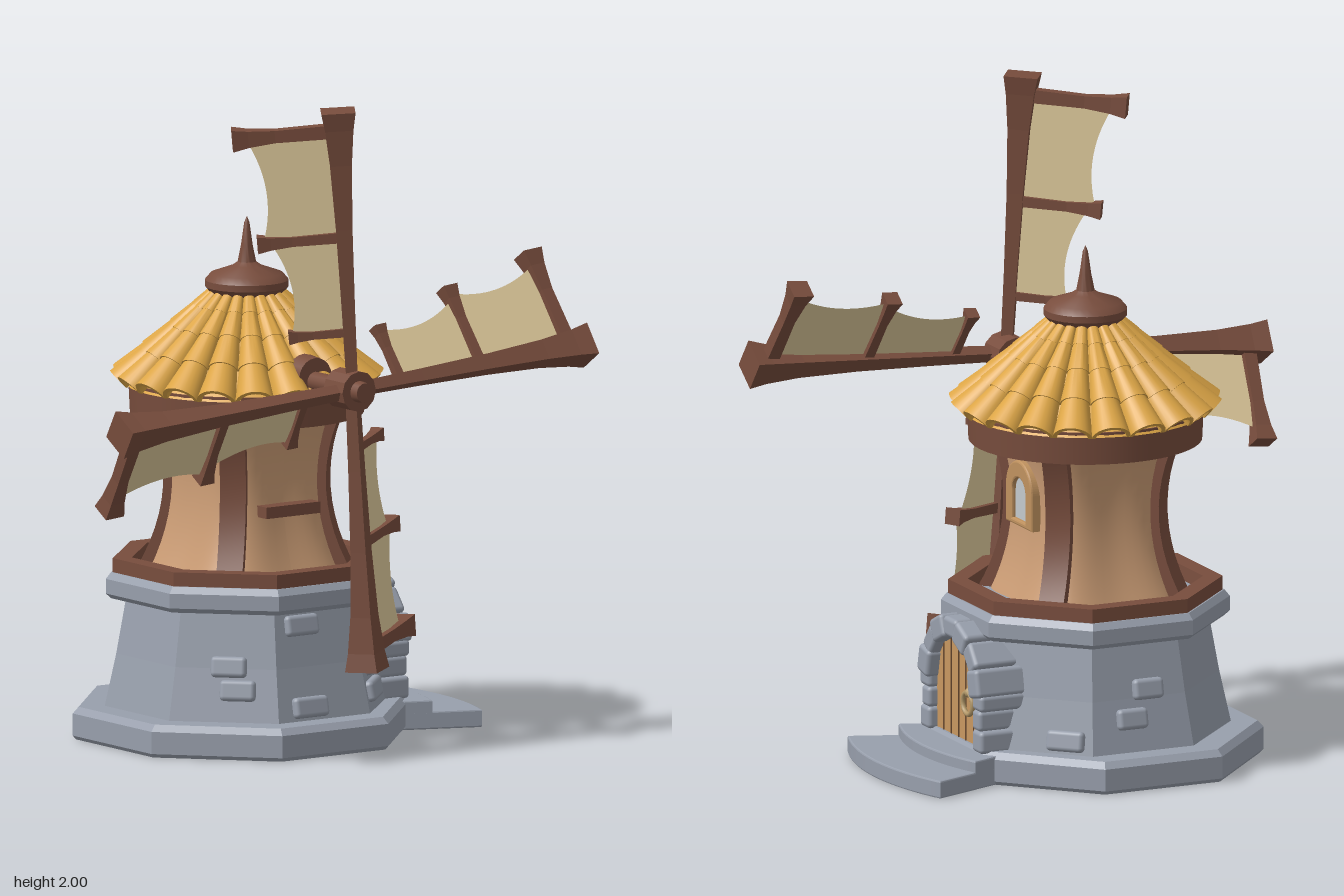
import * as THREE from 'three';
import { toCreasedNormals } from 'three/addons/utils/BufferGeometryUtils.js';
import { RoundedBoxGeometry } from 'three/addons/geometries/RoundedBoxGeometry.js';

const paint = (color, opts = {}) => new THREE.MeshStandardMaterial({ color, ...opts });
const stone = paint(0x989fac), stoneFlat = paint(0x989fac, { flatShading: true });
const wood = paint(0x784d3d), woodFlat = paint(0x784d3d, { flatShading: true });
const plaster = paint(0xcd9e76), trim = paint(0xc0925f), planks = paint(0xc89860);
const tileMat = paint(0xdca546, { side: THREE.DoubleSide });
const cloth = paint(0xe2cd9e, { side: THREE.DoubleSide });
const glass = paint(0xc4c9cd), dark = paint(0x6a4a30), brass = paint(0xb59a6a);

const v2 = (pts) => pts.map(([x, y]) => new THREE.Vector2(x, y));

function add(parent, name, geo, mat, pos = [0, 0, 0], rot = [0, 0, 0]) {
  const m = new THREE.Mesh(geo, mat);
  m.name = name;
  m.position.set(...pos);
  m.rotation.set(...rot);
  parent.add(m);
}

function group(parent, name, rotY = 0) {
  const g = new THREE.Group();
  g.name = name;
  g.rotation.y = rotY;
  parent.add(g);
  return g;
}

// Octagonal solid from a profile of [apothem, y], flats facing the axes
const octagon = (pts) =>
  new THREE.LatheGeometry(v2(pts.map(([a, y]) => [a / Math.cos(Math.PI / 8), y])), 8).rotateY(Math.PI / 8);

const block = (w, h, d) => new RoundedBoxGeometry(w, h, d, 2, 0.014);

// Round-topped outline
function archShape(half, bottom, spring, Type = THREE.Shape) {
  const s = new Type();
  s.moveTo(-half, bottom);
  s.lineTo(half, bottom);
  s.lineTo(half, spring);
  s.absarc(0, spring, half, 0, Math.PI, false);
  s.lineTo(-half, bottom);
  return s;
}
const extrude = (shape, depth, bevel = 0) => new THREE.ExtrudeGeometry(shape, {
  depth, curveSegments: 20, bevelEnabled: bevel > 0, bevelSize: bevel, bevelThickness: bevel, bevelSegments: 2,
});

// Half width of the waisted upper tower at height y
const waist = (y) => 0.205 + 0.04 * ((y - 0.79) / 0.235) ** 2;

function buildBase(tower) {
  // Plinth, a little narrower on the door side, with a shallow recess below
  const plinth = octagon([[0, 0.015], [0.41, 0.015], [0.425, 0], [0.49, 0], [0.5, 0.012], [0.5, 0.08], [0.482, 0.1], [0, 0.1]]);
  add(tower, 'plinth', plinth.scale(0.95, 1, 1), stoneFlat, [-0.025, 0, 0]);
  add(tower, 'stoneWall', octagon([[0.41, 0.09], [0.375, 0.26], [0.345, 0.44]]), stoneFlat);
  add(tower, 'ledge', octagon([[0.32, 0.43], [0.39, 0.43], [0.405, 0.445], [0.405, 0.49], [0.39, 0.51], [0, 0.51]]), stoneFlat);
  add(tower, 'woodRail', octagon([[0.325, 0.5], [0.385, 0.5], [0.385, 0.553], [0.33, 0.553], [0.325, 0.5]]), woodFlat);

  // Raised stones: [face number, sideways offset, height, width]
  for (const [face, x, y, w] of [
    [0, -0.05, 0.385, 0.12], [0, -0.05, 0.14, 0.125],
    [7, 0.01, 0.265, 0.11], [7, 0.04, 0.195, 0.11],
    [1, -0.07, 0.16, 0.15], [1, -0.04, 0.235, 0.13],
    [3, 0.08, 0.14, 0.12],
    [4, 0.03, 0.285, 0.1], [4, -0.03, 0.2, 0.1]]) {
    const side = group(tower, 'wallStone', face * Math.PI / 4);
    const out = 0.41 - 0.2 * (y - 0.1);
    add(side, 'stoneBlock', block(w, 0.064, 0.04), stone, [x, y, out], [-0.2, 0, 0]);
  }

  // Fan-shaped doorstep in two tiers
  const a = 0.372;
  for (const [r, h] of [[0.88, 0.055], [0.725, 0.09]]) {
    const s = new THREE.Shape();
    s.absarc(0, 0, r, -a, a, false);
    s.absarc(0, 0, 0.58, a, -a, true);
    s.closePath();
    add(tower, 'doorstep', extrude(s, h - 0.01, 0.005).rotateX(-Math.PI / 2), stone, [-0.18, 0.005, 0]);
  }
}

function buildDoor(tower) {
  const door = group(tower, 'door', Math.PI / 2);
  add(door, 'doorPanel', extrude(archShape(0.155, 0.09, 0.265), 0.13), planks, [0, 0, 0.295]);
  for (const x of [-0.105, -0.05, 0, 0.05, 0.105]) {
    const top = 0.265 + Math.sqrt(0.15 ** 2 - x * x);
    add(door, 'plankGroove', new THREE.BoxGeometry(0.006, top - 0.1, 0.004), dark, [x, (top + 0.1) / 2, 0.425]);
  }
  add(door, 'doorRing', new THREE.TorusGeometry(0.034, 0.008, 8, 24), brass, [0.09, 0.225, 0.438]);
  add(door, 'ringMount', new THREE.SphereGeometry(0.016, 12, 8), brass, [0.09, 0.258, 0.432]);
  // Arch stones, then the jambs on both sides
  for (let i = 0; i < 7; i++) {
    const a = (i + 0.5) * Math.PI / 7;
    const big = i % 2 ? 0 : 0.012;
    add(door, 'archStone', block(0.062 + big, 0.088, 0.17 + big), stone,
      [0.178 * Math.cos(a), 0.265 + 0.178 * Math.sin(a), 0.375], [0, 0, a]);
  }
  for (const s of [-1, 1]) for (const [y, h, w] of [[0.127, 0.07, 0.066], [0.192, 0.064, 0.055], [0.248, 0.052, 0.068]])
    add(door, 'jambStone', block(w, h, 0.17), stone, [s * (0.15 + w / 2), y, 0.37]);
}

function buildUpperTower(tower) {
  // Rounded-square waisted body
  const body = new THREE.CylinderGeometry(1, 1, 0.52, 64, 12, true).translate(0, 0.76, 0);
  const p = body.attributes.position;
  for (let i = 0; i < p.count; i++) {
    const a = Math.atan2(p.getX(i), p.getZ(i));
    const r = waist(p.getY(i)) * (1.03 - 0.1 * Math.cos(4 * a));
    p.setXYZ(i, Math.sin(a) * r, p.getY(i), Math.cos(a) * r);
  }
  body.computeVertexNormals();
  add(tower, 'upperWall', body, plaster);

  // Curved corner posts
  const post = new THREE.BoxGeometry(0.08, 0.52, 0.05, 1, 12, 1).translate(0, 0.76, 0);
  const b = post.attributes.position;
  for (let i = 0; i < b.count; i++) b.setZ(i, b.getZ(i) + waist(b.getY(i)) * 1.414 - 0.065);
  post.computeVertexNormals();
  for (let k = 0; k < 4; k++) add(tower, 'cornerPost', post, wood, [0, 0, 0], [0, Math.PI / 4 + k * Math.PI / 2, 0]);

  // Window above the door
  const win = group(tower, 'window', Math.PI / 2);
  const frame = archShape(0.085, 0.742, 0.848);
  frame.holes.push(archShape(0.052, 0.748, 0.84, THREE.Path));
  add(win, 'windowFrame', extrude(frame, 0.055, 0.006), trim, [0, 0, 0.165]);
  add(win, 'windowPane', extrude(archShape(0.055, 0.745, 0.84), 0.04), glass, [0, 0, 0.172]);

  add(tower, 'frontShelf', new THREE.BoxGeometry(0.2, 0.035, 0.08), wood, [0, 0.718, 0.205]);
  add(tower, 'roofRing', new THREE.CylinderGeometry(0.36, 0.355, 0.1, 48), wood, [0, 1.04, 0]);
}

function buildRoof(tower) {
  const roof = group(tower, 'roof');
  // Tapered barrel tiles: rows of [radius, height], overlapping downhill
  const rows = [[0.372, 1.076], [0.29, 1.16], [0.213, 1.24], [0.148, 1.308], [0.09, 1.37]];
  add(roof, 'roofCone', new THREE.LatheGeometry(v2(rows.map(([r, y]) => [r - 0.006, y])), 40), tileMat);
  const n = 20;
  for (let i = 0; i < 4; i++) {
    const [r0, y0] = rows[i], [r1, y1] = rows[i + 1];
    const len = Math.hypot(r0 - r1, y1 - y0) + 0.015;
    const big = Math.PI * r0 / n * 1.04, small = Math.PI * r1 / n * 0.9;
    const geo = toCreasedNormals(new THREE.LatheGeometry(
      v2([[small - 0.01, len], [big - 0.013, 0], [big, 0], [small, len]]), 12, -Math.PI / 2, Math.PI), 0.7);
    for (let j = 0; j < n; j++) {
      const column = group(roof, 'tileColumn', (j + 0.25) * Math.PI * 2 / n);
      add(column, 'roofTile', geo, tileMat, [0, y0, r0], [-Math.atan2(r0 - r1, y1 - y0), 0, 0]);
    }
  }
  const cap = v2([[0, 1.35], [0.11, 1.355], [0.127, 1.375], [0.127, 1.395], [0.11, 1.415], [0.045, 1.438],
    [0.028, 1.45], [0.018, 1.5], [0.008, 1.57], [0, 1.59]]);
  add(roof, 'roofFinial', toCreasedNormals(new THREE.LatheGeometry(cap, 32), 0.6), wood);
}

// One sail panel between two bars, with a hollow outer edge
function sailPanel(y0, w0, y1, w1) {
  const s = new THREE.Shape();
  s.moveTo(0, y0);
  s.lineTo(-w0, y0);
  s.quadraticCurveTo(-(w0 + w1) / 2 + 0.07, (y0 + y1) / 2, -w1, y1);
  s.lineTo(0, y1);
  s.closePath();
  return new THREE.ShapeGeometry(s, 16);
}

// Square bar along +y from a profile of [half width, y]
const squareBar = (pts) =>
  new THREE.LatheGeometry(v2(pts.map(([w, y]) => [w * Math.SQRT2, y])), 4).rotateY(Math.PI / 4);

function buildSails(model) {
  const sails = group(model, 'sails');
  sails.position.set(0, 1.13, 0.485);
  add(sails, 'hub', new THREE.CylinderGeometry(0.062, 0.062, 0.1, 12), woodFlat, [0, 0, -0.015], [Math.PI / 2, 0, 0]);
  add(sails, 'hubCap', new THREE.CylinderGeometry(0.03, 0.034, 0.04, 16), wood, [0, 0, 0.045], [Math.PI / 2, 0, 0]);
  add(sails, 'axle', new THREE.CylinderGeometry(0.03, 0.03, 0.35, 16), wood, [0, 0, -0.2], [Math.PI / 2, 0, 0]);
  add(sails, 'axleCollar', new THREE.CylinderGeometry(0.06, 0.065, 0.06, 20), wood, [0, 0.012, -0.225], [Math.PI / 2, 0, 0]);

  // Spar flaring towards the tip
  const spar = squareBar([[0, 0], [0.017, 0], [0.02, 0.25], [0.025, 0.5], [0.033, 0.7], [0.043, 0.81], [0.052, 0.866], [0, 0.866]]);
  for (let k = 0; k < 4; k++) {
    const arm = group(sails, 'sailArm');
    arm.rotation.z = 0.063 + k * Math.PI / 2;
    const blade = group(arm, 'sailBlade', -0.58);
    add(blade, 'spar', spar, woodFlat);
    // Crossbars flare at their outer ends: [distance, length, half width]
    for (const [y, len, t] of [[0.18, 0.185, 0.013], [0.475, 0.265, 0.016], [0.805, 0.325, 0.021]]) {
      const bar = squareBar([[0, 0], [t, 0], [t * 0.9, len * 0.6], [t * 1.2, len * 0.85], [t * 1.6, len], [0, len]]);
      add(blade, 'crossbar', bar, woodFlat, [0, y, 0], [0, 0, Math.PI / 2 + 0.03]);
    }
    add(blade, 'sailCloth', sailPanel(0.18, 0.175, 0.475, 0.23), cloth);
    add(blade, 'sailCloth', sailPanel(0.475, 0.245, 0.795, 0.285), cloth);
  }
}

export function createModel() {
  const model = new THREE.Group();
  model.name = 'windmill';
  const tower = group(model, 'tower');
  tower.position.z = -0.07;
  buildBase(tower);
  buildDoor(tower);
  buildUpperTower(tower);
  buildRoof(tower);
  buildSails(model);
  return model;
}
